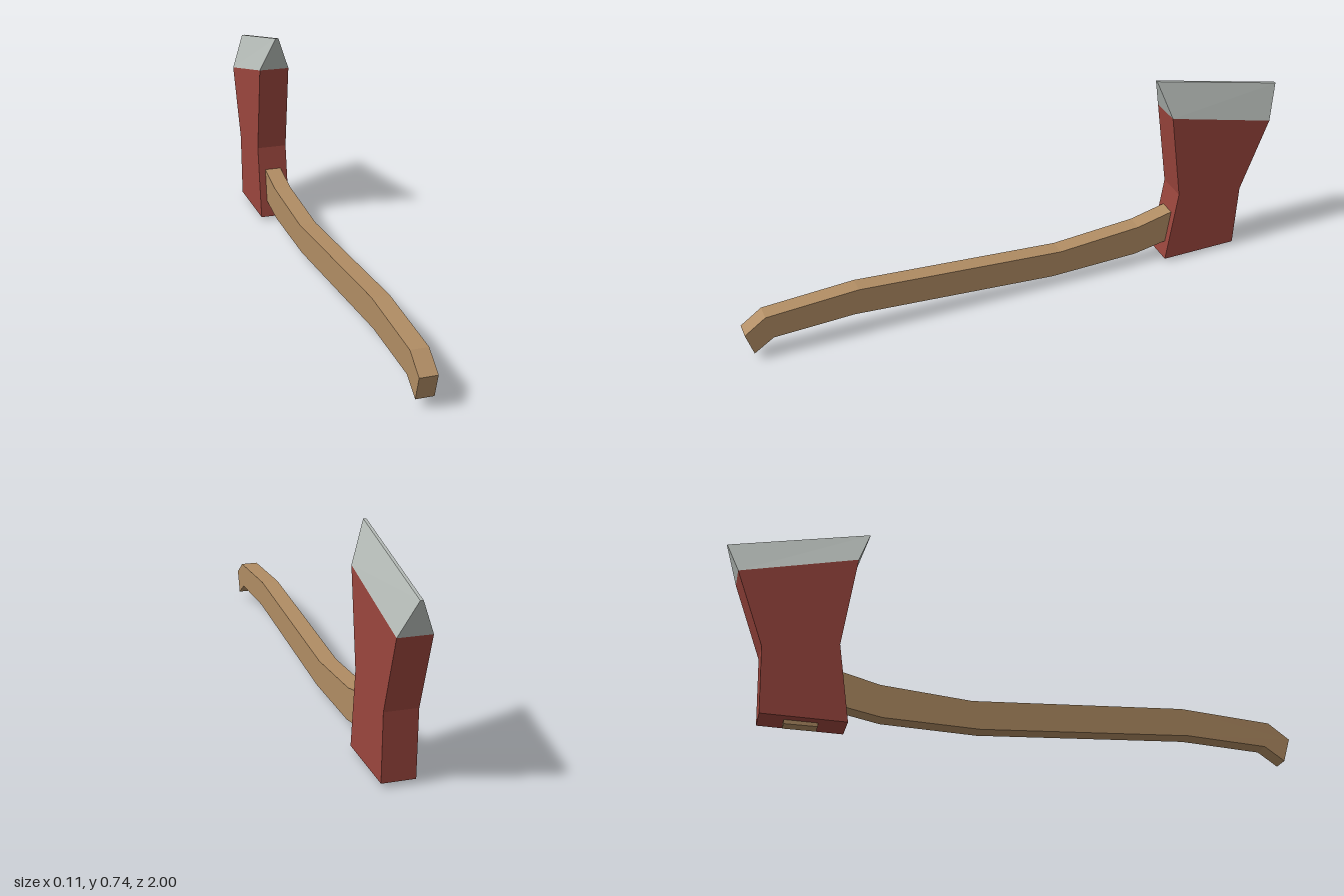
import * as THREE from 'three';

const paint = (color) => new THREE.MeshStandardMaterial({ color, flatShading: true });

// Side profile given as [z, y] points, given a width along x
function slab(name, points, width, material) {
  const shape = new THREE.Shape(points.map(([z, y]) => new THREE.Vector2(z, y)));
  const geometry = new THREE.ExtrudeGeometry(shape, { depth: width, bevelEnabled: false });
  geometry.translate(0, 0, -width / 2).rotateY(-Math.PI / 2);
  const mesh = new THREE.Mesh(geometry, material);
  mesh.name = name;
  return mesh;
}

// Tapered block: each end edge runs from back to front as [z, y] with a half width
function taper(name, bottom, top, material) {
  const geometry = new THREE.BoxGeometry(2, 2, 2).toNonIndexed();
  const p = geometry.attributes.position;
  for (let i = 0; i < p.count; i++) {
    const end = p.getY(i) > 0 ? top : bottom;
    const [z, y] = p.getZ(i) > 0 ? end.front : end.back;
    p.setXYZ(i, p.getX(i) * end.half, y, z);
  }
  geometry.computeVertexNormals();
  const mesh = new THREE.Mesh(geometry, material);
  mesh.name = name;
  return mesh;
}

export function createModel() {
  const group = new THREE.Group();
  group.name = 'axe';
  const wood = paint(0xb08c63);
  const red = paint(0x9b463d);
  const steel = paint(0xb4bab6);

  // Curved handle with a hooked grip, running into the head
  group.add(slab('handle', [
    [1, 0.112], [0.925, 0.166], [0.6, 0.188], [-0.15, 0.14], [-0.46, 0.165], [-0.6, 0.2], [-0.66, 0.21],
    [-0.66, 0.09], [-0.58, 0.075], [-0.45, 0.05], [-0.12, 0.041], [0.62, 0.09], [0.905, 0.077], [0.975, 0.03],
  ], 0.061, wood));

  // Painted head with a narrow waist
  group.add(slab('head', [
    [-0.565, 0.012], [-0.605, 0.285], [-0.558, 0.61],
    [-0.957, 0.515], [-0.86, 0.25], [-0.85, 0.015],
  ], 0.112, red));

  // Steel cutting edge
  group.add(taper('blade',
    { back: [-0.957, 0.515], front: [-0.558, 0.61], half: 0.056 },
    { back: [-1, 0.635], front: [-0.515, 0.74], half: 0.005 }, steel));

  // Wooden wedge showing under the head
  const wedge = new THREE.Mesh(new THREE.BoxGeometry(0.045, 0.04, 0.11), wood);
  wedge.name = 'wedge';
  wedge.position.set(0, 0.02, -0.713);
  group.add(wedge);

  return group;
}
